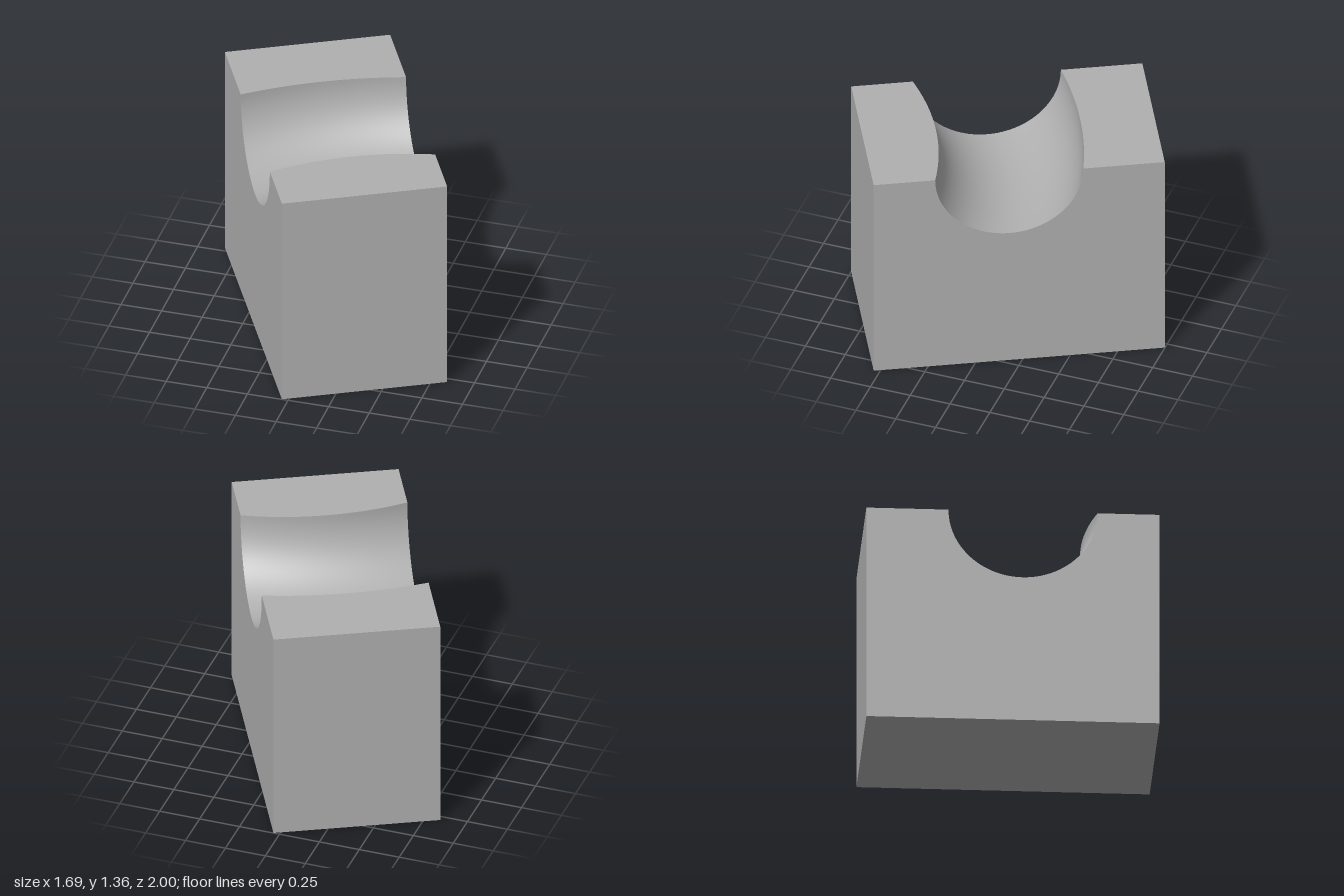
import * as THREE from 'three';
import { toCreasedNormals } from 'three/addons/utils/BufferGeometryUtils.js';

const LENGTH = 1.734, WIDTH = 0.995, HEIGHT = 1.358;
const GROOVE = 0.429; // radius of the groove's round section
const BEND = 2.2;     // radius of the arc the groove follows

export function createModel() {
  const grey = new THREE.MeshStandardMaterial({ color: 0xb0b0b0 });
  grey.name = 'grey';

  // Block profile with a half-round channel in the top
  const half = LENGTH / 2;
  const profile = new THREE.Shape();
  profile.moveTo(-half, 0);
  profile.lineTo(half, 0);
  profile.lineTo(half, HEIGHT);
  const segments = 48;
  for (let i = 0; i <= segments; i++) {
    const a = (i / segments) * Math.PI;
    profile.lineTo(GROOVE * Math.cos(a), HEIGHT - GROOVE * Math.sin(a));
  }
  profile.lineTo(-half, HEIGHT);
  profile.closePath();

  let geometry = new THREE.ExtrudeGeometry(profile, { depth: WIDTH, steps: 28, bevelEnabled: false });
  geometry.translate(0, 0, -WIDTH / 2);

  // Bend the channel along an arc, leaving the block's corners in place
  const pos = geometry.attributes.position;
  for (let i = 0; i < pos.count; i++) {
    const u = pos.getX(i), w = pos.getZ(i);
    if (Math.abs(u) > GROOVE + 0.01) continue;
    pos.setX(i, BEND - Math.sqrt((BEND - u) ** 2 - w * w));
  }
  geometry = toCreasedNormals(geometry, Math.PI / 6);

  const block = new THREE.Mesh(geometry, grey);
  block.name = 'groovedBlock';
  block.rotation.y = -1.088; // the block stands at an angle

  const model = new THREE.Group();
  model.name = 'cradleBlock';
  model.add(block);
  return model;
}
